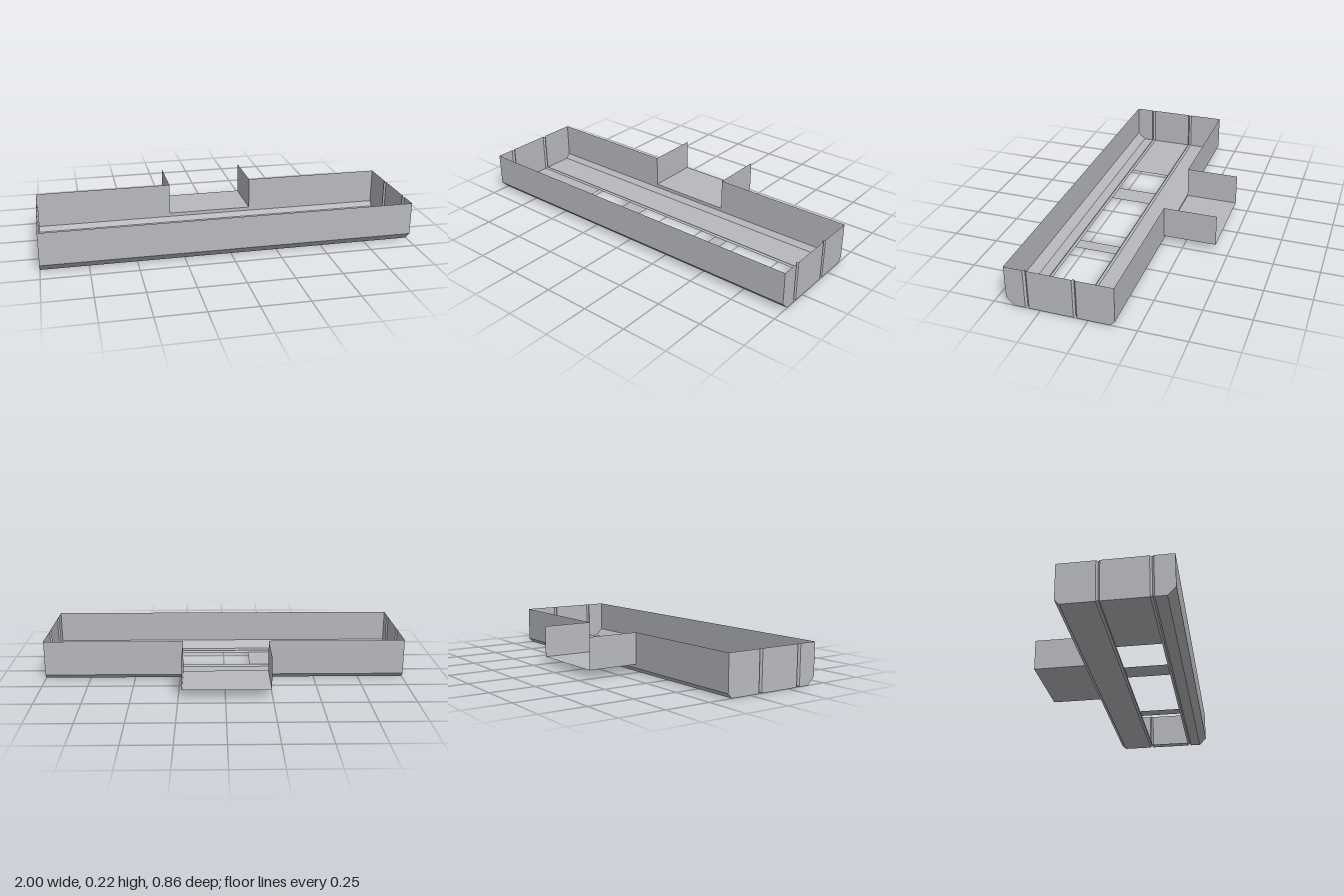
import * as THREE from 'three';

const L = 1;            // half length
const G = 0.99;         // half length at the bottom of the end grooves
const TOP = 0.22;       // rim height
const BACK = -0.137;    // back wall plane
const DOOR = [-0.245, 0.23, 0.045]; // opening: x from, x to, sill height

// Sheet made of flat polygons, each a loop of [x, y, z] corners (fan triangulated)
function sheet(name, polygons, material) {
  const pos = [];
  for (const p of polygons) {
    for (let i = 1; i < p.length - 1; i++) pos.push(...p[0], ...p[i], ...p[i + 1]);
  }
  const geo = new THREE.BufferGeometry();
  geo.setAttribute('position', new THREE.Float32BufferAttribute(pos, 3));
  geo.computeVertexNormals();
  const mesh = new THREE.Mesh(geo, material);
  mesh.name = name;
  return mesh;
}

// Strip running along x between two [z, y, halfLength] edges, outside facing down
const strip = ([z0, y0, a], [z1, y1, b], x0 = -1, x1 = 1) => [
  [x0 * a, y0, z0], [x0 * b, y1, z1], [x1 * b, y1, z1], [x1 * a, y0, z0],
];

// Upright rectangle facing the back
const backPanel = (x0, x1, y0, y1) => [
  [x0, y0, BACK], [x0, y1, BACK], [x1, y1, BACK], [x1, y0, BACK],
];

export function createModel() {
  const model = new THREE.Group();
  model.name = 'openTray';
  const grey = new THREE.MeshStandardMaterial({ color: 0xb8b9bd, side: THREE.DoubleSide });
  grey.name = 'grey';
  const add = (name, polygons) => model.add(sheet(name, polygons, grey));

  // Cross-section corners: [z, y, half length]
  const rim = [0.43, TOP, L], frontEdge = [0.43, 0.042, L], frontFoot = [0.388, 0, L];
  const grooveA = [[0.33, 0, L], [0.32, 0.01, G], [0.31, 0, L]];
  const grooveB = [[0.076, 0, L], [0.067, 0.01, G], [0.057, 0, L]];
  const backFoot = [-0.113, 0, L], backEdge = [BACK, 0.025, L];

  // Long front wall and sloped lower edges
  add('frontWall', [strip(rim, frontEdge)]);
  add('frontBevel', [strip(frontEdge, frontFoot)]);
  add('backBevel', [strip(backFoot, backEdge)]);

  // Floor rails and the V grooves between them
  add('frontFloor', [strip(frontFoot, grooveA[0])]);
  add('backFloor', [strip(grooveB[2], backFoot)]);
  for (const g of [grooveA, grooveB]) {
    add('floorGroove', [strip(g[0], g[1]), strip(g[1], g[2])]);
  }

  // Cross panels of the open middle floor
  for (const [x0, x1] of [[-1, -0.527], [-0.28, -0.15], [0.347, 0.422], [0.946, 1]]) {
    add('crossPanel', [strip(grooveA[2], grooveB[0], x0, x1)]);
  }

  // Back wall around the opening
  const [d0, d1, sill] = DOOR;
  add('backWall', [
    backPanel(-L, d0, backEdge[1], TOP),
    backPanel(d0, d1, backEdge[1], sill),
    backPanel(d1, L, backEdge[1], TOP),
  ]);

  // End walls, folded inward at each groove
  for (const s of [-1, 1]) {
    const point = ([z, y, x]) => [s * x, y, z];
    const up = ([z, , x]) => [s * x, TOP, z];
    const panel = (...edge) => {
      const loop = [...edge.map(point), up(edge[edge.length - 1]), up(edge[0])];
      return s > 0 ? loop : loop.reverse();
    };
    add(s > 0 ? 'leftEndWall' : 'rightEndWall', [
      panel(frontEdge, frontFoot, grooveA[0]),
      panel(grooveA[0], grooveA[1]),
      panel(grooveA[1], grooveA[2]),
      panel(grooveA[2], grooveB[0]),
      panel(grooveB[0], grooveB[1]),
      panel(grooveB[1], grooveB[2]),
      panel(grooveB[2], backFoot, backEdge),
    ]);
  }

  // Chute behind the opening: floor and two cheeks, open at the rear
  const rear = -0.43;
  add('chuteFloor', [[[d0, sill, BACK], [d0, sill, rear], [d1, sill, rear], [d1, sill, BACK]]]);
  for (const x of [d0, d1]) {
    const cheek = [[x, sill, BACK], [x, sill, rear], [x, TOP, rear], [x, TOP, BACK]];
    add('chuteCheek', [x > 0 ? cheek : cheek.reverse()]);
  }

  return model;
}
